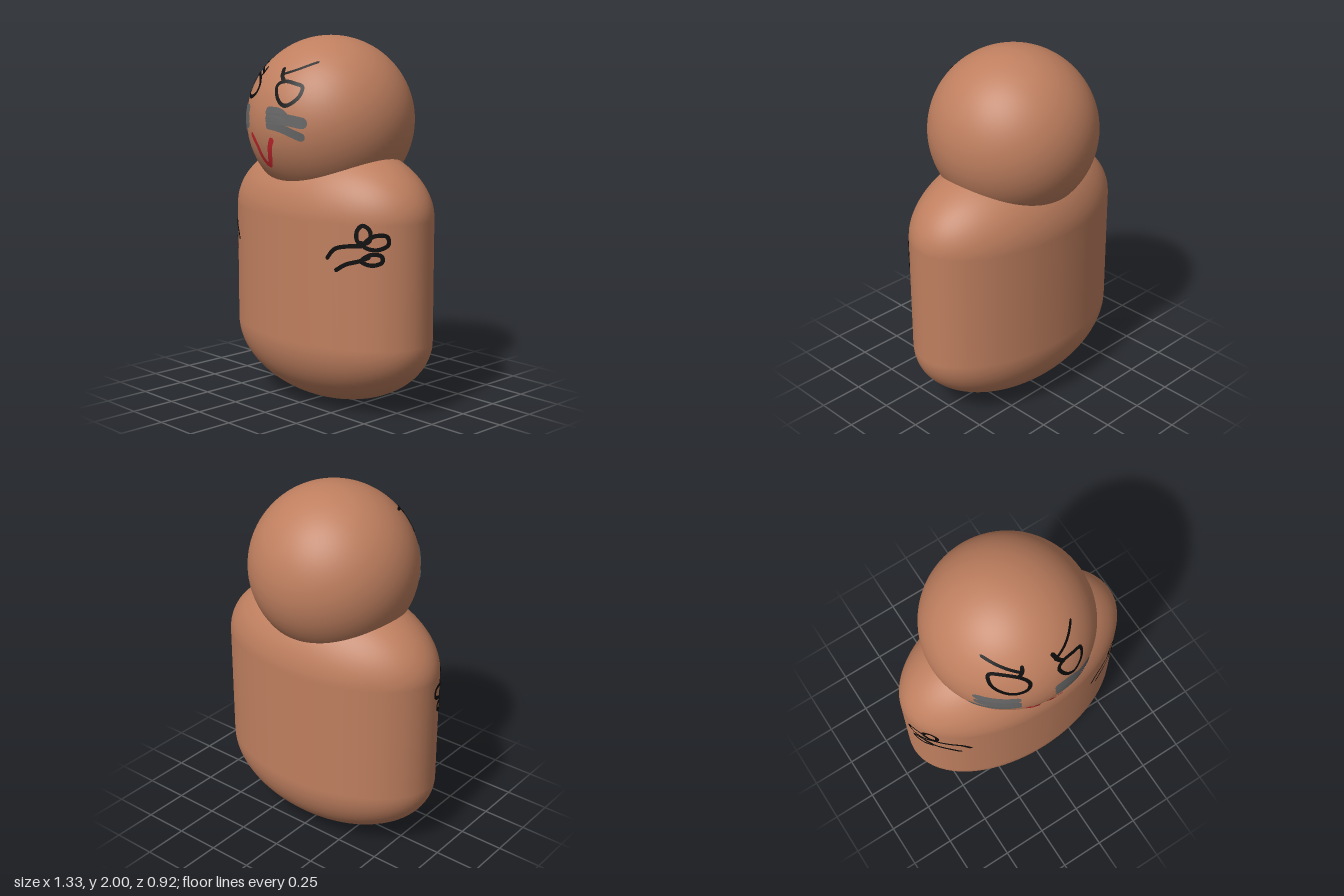
import * as THREE from 'three';

const A = 0.665, B = 0.39;                       // body half width and half depth
const HEAD = new THREE.Vector3(-0.012, 1.543, 0), R = 0.457;
const LIFT = 0.004;                              // painted strokes sit just above the skin

const material = (name, color, side = THREE.FrontSide) => {
  const m = new THREE.MeshStandardMaterial({ color, side });
  m.name = name;
  return m;
};

// Surface samplers: drawing coordinates to a point and normal on the skin
function onHead(x, y) {
  const dx = x - HEAD.x, dy = y - HEAD.y;
  const n = new THREE.Vector3(dx, dy, Math.sqrt(Math.max(0, R * R - dx * dx - dy * dy))).normalize();
  return { p: HEAD.clone().addScaledVector(n, R + LIFT), n };
}
function onBody(t, y, sign) {
  const n = new THREE.Vector3(sign * Math.cos(t) / A, 0, Math.sin(t) / B).normalize();
  const p = new THREE.Vector3(sign * A * Math.cos(t), y, B * Math.sin(t)).addScaledVector(n, LIFT);
  return { p, n };
}
const onLeftBody = (x, y) => onBody(Math.acos(x / A), y, 1);
const onRightBody = (x, y) => onBody(0.868 - (1.085 - Math.acos(x / A)) * 1.25, y, -1);

// Thin ribbon that follows the skin along a smooth path with rounded ends
function stroke(name, path, width, surface, mat, closed = false) {
  const curve = new THREE.CatmullRomCurve3(path.map(([x, y]) => new THREE.Vector3(x, y, 0)), closed, 'centripetal');
  const count = 48, length = curve.getLength();
  const samples = curve.getSpacedPoints(count).map(v => surface(v.x, v.y));
  const pos = [], nor = [], index = [];
  samples.forEach(({ p, n }, i) => {
    const prev = closed ? (i + count - 1) % count : Math.max(i - 1, 0);
    const next = closed ? (i + 1) % count : Math.min(i + 1, count);
    const along = samples[next].p.clone().sub(samples[prev].p);
    const end = closed ? 1 : Math.min(1, Math.min(i, count - i) / count * length / (width / 2));
    const half = width / 2 * Math.sqrt(1 - (1 - end) ** 2);
    const side = n.clone().cross(along).normalize().multiplyScalar(half);
    pos.push(...p.clone().add(side).toArray(), ...p.clone().sub(side).toArray());
    nor.push(...n.toArray(), ...n.toArray());
    if (i < count) index.push(2 * i, 2 * i + 1, 2 * i + 3, 2 * i, 2 * i + 3, 2 * i + 2);
  });
  const g = new THREE.BufferGeometry();
  g.setAttribute('position', new THREE.Float32BufferAttribute(pos, 3));
  g.setAttribute('normal', new THREE.Float32BufferAttribute(nor, 3));
  g.setIndex(index);
  const mesh = new THREE.Mesh(g, mat);
  mesh.name = name;
  return mesh;
}

export function createModel() {
  const model = new THREE.Group();
  model.name = 'figure';
  const skin = material('brown skin', 0xbf7f5f);
  const ink = material('black ink', 0x0a0a0a, THREE.DoubleSide);
  const grey = material('grey cheeks', 0x666666, THREE.DoubleSide);
  const red = material('red mouth', 0xc1272d, THREE.DoubleSide);

  // Flattened capsule body
  const bodyGeometry = new THREE.CapsuleGeometry(B, 0.66, 24, 72);
  bodyGeometry.scale(A / B, 1, 1);
  const body = new THREE.Mesh(bodyGeometry, skin);
  body.name = 'body';
  body.position.y = 0.72;
  model.add(body);

  // Ball head
  const head = new THREE.Mesh(new THREE.SphereGeometry(R, 72, 48), skin);
  head.name = 'head';
  head.position.copy(HEAD);
  model.add(head);

  const face = new THREE.Group();
  face.name = 'face';
  model.add(face);
  const draw = (name, path, width, mat, closed) => face.add(stroke(name, path, width, onHead, mat, closed));

  // Eyes with slanted brows
  draw('rightEye', [[-0.29, 1.79], [-0.3, 1.73], [-0.265, 1.69], [-0.215, 1.675], [-0.155, 1.695],
    [-0.137, 1.735], [-0.16, 1.77], [-0.225, 1.795]], 0.021, ink, true);
  draw('rightBrow', [[-0.285, 1.862], [-0.22, 1.83], [-0.145, 1.798]], 0.018, ink);
  draw('rightBrowTick', [[-0.142, 1.835], [-0.155, 1.8], [-0.185, 1.775]], 0.021, ink);
  draw('leftEye', [[0.02, 1.745], [0.06, 1.765], [0.13, 1.755], [0.168, 1.74], [0.168, 1.695],
    [0.13, 1.655], [0.095, 1.645], [0.05, 1.675]], 0.021, ink, true);
  draw('leftBrow', [[0.18, 1.865], [0.1, 1.825], [0.01, 1.795]], 0.016, ink);
  draw('leftBrowTick', [[0.01, 1.835], [0.03, 1.79], [0.055, 1.765]], 0.024, ink);

  // Smudged cheeks, each made of broad strokes
  draw('rightCheekUpper', [[-0.195, 1.612], [-0.28, 1.61], [-0.385, 1.607]], 0.05, grey);
  draw('rightCheekMiddle', [[-0.195, 1.565], [-0.28, 1.56], [-0.385, 1.555]], 0.06, grey);
  draw('rightCheekLower', [[-0.195, 1.535], [-0.29, 1.515], [-0.4, 1.485]], 0.04, grey);
  draw('leftCheekUpper', [[-0.025, 1.61], [0.07, 1.605], [0.12, 1.575]], 0.055, grey);
  draw('leftCheekMiddle', [[-0.025, 1.575], [0.1, 1.575], [0.225, 1.555]], 0.06, grey);
  draw('leftCheekLower', [[-0.02, 1.545], [0.08, 1.53], [0.21, 1.48]], 0.045, grey);

  // V-shaped mouth
  draw('mouth', [[-0.172, 1.49], [-0.122, 1.43], [-0.09, 1.355], [-0.055, 1.325], [-0.03, 1.36],
    [-0.005, 1.43], [0.023, 1.477]], 0.032, red);

  // Drawn arms with three-fingered hands, repeated on both sides
  for (const [side, surface] of [['left', onLeftBody], ['right', onRightBody]]) {
    const arm = new THREE.Group();
    arm.name = side + 'Arm';
    const line = (name, path, closed) => arm.add(stroke(side + name, path, 0.022, surface, ink, closed));
    line('ArmUpperLine', [[0.315, 0.862], [0.36, 0.92], [0.43, 0.94], [0.5, 0.945]]);
    line('ArmLowerLine', [[0.36, 0.805], [0.42, 0.845], [0.48, 0.865], [0.53, 0.89]]);
    line('UpperFinger', [[0.475, 0.965], [0.47, 1.02], [0.495, 1.05], [0.525, 1.025], [0.52, 0.965]], true);
    line('MiddleFinger', [[0.5, 0.945], [0.54, 0.995], [0.588, 0.997], [0.593, 0.95], [0.55, 0.925]], true);
    line('LowerFinger', [[0.49, 0.865], [0.53, 0.9], [0.57, 0.895], [0.573, 0.862], [0.535, 0.845]], true);
    model.add(arm);
  }
  return model;
}
